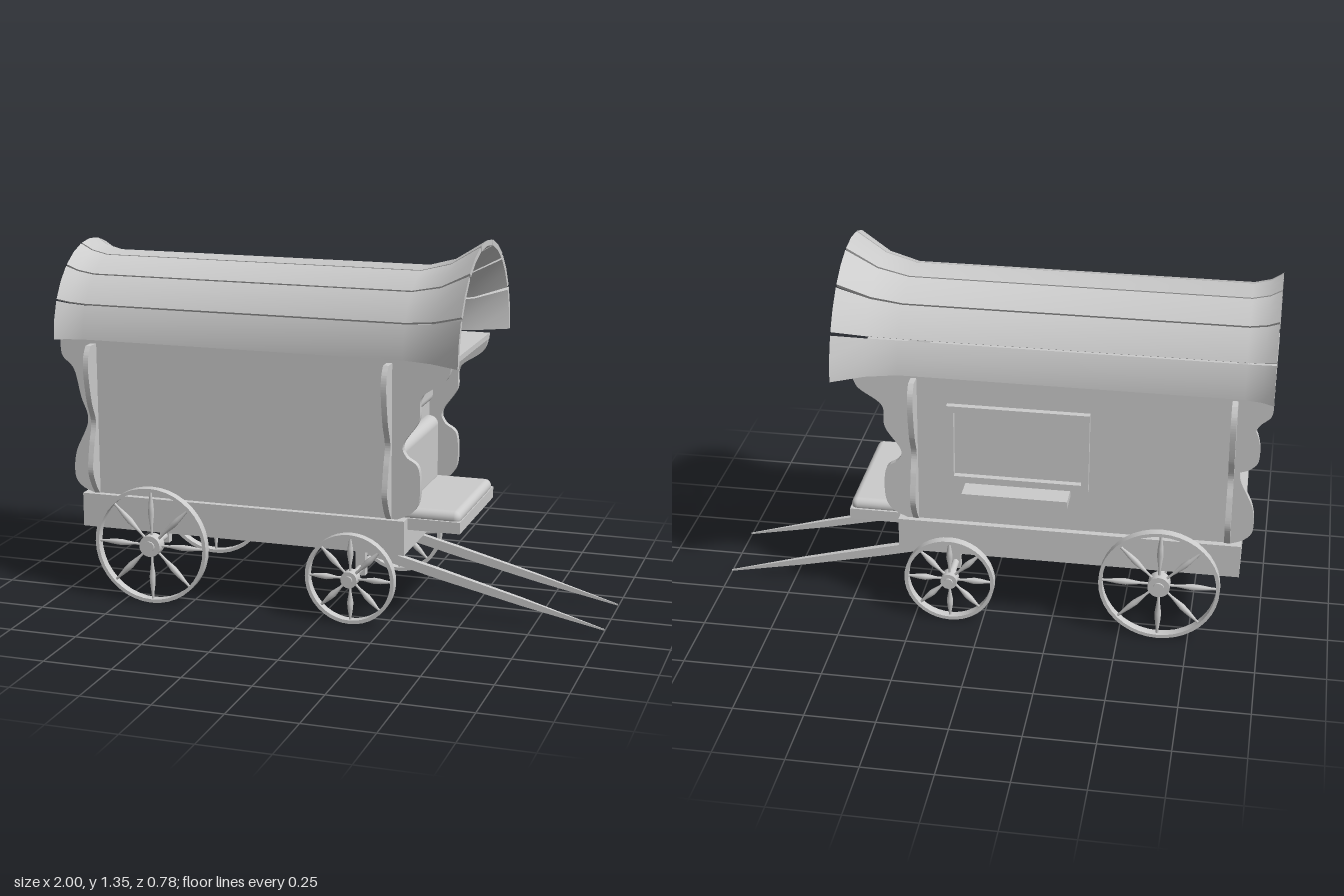
import * as THREE from 'three';
import { toCreasedNormals } from 'three/addons/utils/BufferGeometryUtils.js';
import { RoundedBoxGeometry } from 'three/addons/geometries/RoundedBoxGeometry.js';

const mat = new THREE.MeshStandardMaterial({ color: 0xcccccc });

function add(parent, name, geo, x = 0, y = 0, z = 0) {
  const m = new THREE.Mesh(geo, mat);
  m.name = name;
  m.position.set(x, y, z);
  parent.add(m);
  return m;
}

// box given by its minimum and maximum corners
function box(parent, name, x0, x1, y0, y1, z0, z1) {
  return add(parent, name, new THREE.BoxGeometry(x1 - x0, y1 - y0, z1 - z0),
    (x0 + x1) / 2, (y0 + y1) / 2, (z0 + z1) / 2);
}

function pad(parent, name, x0, x1, y0, y1, halfZ, r) {
  return add(parent, name, new RoundedBoxGeometry(x1 - x0, y1 - y0, 2 * halfZ, 4, r),
    (x0 + x1) / 2, (y0 + y1) / 2, 0);
}

function extrude(shape, depth) {
  const g = new THREE.ExtrudeGeometry(shape, { depth, bevelEnabled: false, curveSegments: 14 });
  g.translate(0, 0, -depth / 2);
  return toCreasedNormals(g, 0.6);
}

// scalloped board: straight inner edge, wavy outer edge from top to bottom
function scallop(inner, edge, depth) {
  const pts = edge.map(([x, y]) => new THREE.Vector2(x, y));
  const s = new THREE.Shape();
  s.moveTo(inner, edge[edge.length - 1][1]);
  s.lineTo(inner, edge[0][1]);
  s.lineTo(...edge[0]);
  s.splineThru(pts.slice(1));
  s.closePath();
  const g = new THREE.ExtrudeGeometry(s, { depth, bevelEnabled: false, curveSegments: 28 });
  g.translate(0, 0, -depth / 2);
  return toCreasedNormals(g, 0.6);
}

// one curved roof plank swept through the stations [x, half width, top, half gap]
const stations = [[-1, 0.33, 1.29, 0.012], [-0.96, 0.309, 1.265, 0.01], [-0.9, 0.297, 1.25, 0.01],
  [0.3, 0.297, 1.25, 0.01], [0.41, 0.327, 1.28, 0.012], [0.52, 0.39, 1.35, 0.016]];
function roofPlank(i) {
  const base = 0.967, thick = 0.02, pos = [], idx = [];
  const step = Math.PI / 7;
  for (const [x, w, top, gap] of stations) {
    const a0 = i * step + (i > 0 ? gap : 0), a1 = (i + 1) * step - (i < 6 ? gap : 0);
    const angles = [a0, (a0 + a1) / 2, a1];
    const put = (a, t) => pos.push(x, base + (top - base - t) * Math.sin(a), (w - t) * Math.cos(a));
    angles.forEach(a => put(a, 0));
    angles.reverse().forEach(a => put(a, thick));
  }
  const quad = (a, b, c, d) => idx.push(a, b, c, a, c, d);
  for (let j = 0; j < stations.length - 1; j++)
    for (let k = 0; k < 6; k++) {
      const n = (k + 1) % 6, p = j * 6, q = p + 6;
      quad(p + k, q + k, q + n, p + n);
    }
  const e = (stations.length - 1) * 6;
  quad(0, 1, 4, 5);
  quad(1, 2, 3, 4);
  quad(e + 5, e + 4, e + 1, e);
  quad(e + 4, e + 3, e + 2, e + 1);
  const g = new THREE.BufferGeometry();
  g.setAttribute('position', new THREE.Float32BufferAttribute(pos, 3));
  g.setIndex(idx);
  return toCreasedNormals(g, 0.6);
}

// arched outline of the gable, scaled about its base
function arch(path, w, h, y) {
  for (let i = 0; i <= 14; i++) {
    const a = Math.PI * i / 14;
    path[i ? 'lineTo' : 'moveTo'](w * Math.cos(a), y + h * Math.sin(a));
  }
  path.closePath();
  return path;
}

function gable() {
  const g = new THREE.Group();
  g.name = 'gable';
  add(g, 'gablePanel', extrude(arch(new THREE.Shape(), 0.257, 0.25, 0.967), 0.02));
  const rim = arch(new THREE.Shape(), 0.257, 0.25, 0.967);
  rim.holes.push(arch(new THREE.Path(), 0.233, 0.21, 0.985));
  add(g, 'gableTrim', extrude(rim, 0.02), 0, 0, 0.012);
  for (const s of [-1, 1]) {
    const strut = add(g, 'gableStrut', new THREE.BoxGeometry(0.026, 0.23, 0.02), s * 0.073, 1.08, 0.012);
    strut.rotation.z = -s * Math.atan2(0.14, 0.2);
  }
  return g;
}

function wheel(R, hub) {
  const g = new THREE.Group();
  g.name = 'wheel';
  const ri = R - 0.013, w = 0.016;
  const ring = [[ri, -w], [R, -w], [R, w], [ri, w], [ri, -w]].map(p => new THREE.Vector2(...p));
  add(g, 'rim', toCreasedNormals(new THREE.LatheGeometry(ring, 40), 0.6)).rotation.x = Math.PI / 2;
  add(g, 'hub', new THREE.CylinderGeometry(hub, hub, 0.046, 20)).rotation.x = Math.PI / 2;
  add(g, 'hubCap', new THREE.CylinderGeometry(hub * 0.5, hub * 0.5, 0.06, 16)).rotation.x = Math.PI / 2;
  // turned spokes, thickest past the middle
  const L = ri + 0.003 - hub * 0.8;
  const turned = [[0.005, 0], [0.005, 0.2], [0.012, 0.5], [0.01, 0.68], [0.005, 0.9], [0.005, 1]]
    .map(([r, t]) => new THREE.Vector2(r, hub * 0.8 + t * L));
  const spoke = new THREE.LatheGeometry(turned, 8);
  for (let i = 0; i < 8; i++) add(g, 'spoke', spoke).rotation.z = i * Math.PI / 4;
  return g;
}

export function createModel() {
  const model = new THREE.Group();
  model.name = 'wagon';

  // chassis, cabin and ledge under the roof
  box(model, 'chassis', -0.92, 0.31, 0.265, 0.39, -0.295, 0.295);
  box(model, 'cabin', -0.88, 0.25, 0.385, 0.95, -0.272, 0.272);
  box(model, 'ceilingLedge', -1, 0.47, 0.947, 0.967, -0.275, 0.275);

  // roof planks and gables
  const roof = new THREE.Group();
  roof.name = 'roof';
  model.add(roof);
  for (let i = 0; i < 7; i++) add(roof, 'roofPlank', roofPlank(i));
  for (const [x, s] of [[0.25, 1], [-0.88, -1]]) {
    const g = gable();
    g.position.x = x;
    g.rotation.y = s * Math.PI / 2;
    model.add(g);
  }

  // scalloped boards on the porch, the rear and the corners
  const porch = scallop(0.24, [[0.47, 0.96], [0.45, 0.9], [0.365, 0.835], [0.355, 0.75], [0.3, 0.665],
    [0.31, 0.62], [0.355, 0.58], [0.36, 0.475], [0.335, 0.42], [0.28, 0.39]], 0.025);
  const rear = scallop(-0.87, [[-1, 0.96], [-0.995, 0.9], [-0.95, 0.85], [-0.925, 0.75], [-0.9, 0.66],
    [-0.95, 0.54], [-0.957, 0.45], [-0.93, 0.41], [-0.885, 0.39]], 0.025);
  const corner = scallop(0.265, [[0.32, 0.95], [0.343, 0.91], [0.346, 0.85], [0.325, 0.745], [0.293, 0.66],
    [0.314, 0.58], [0.33, 0.49], [0.307, 0.43], [0.277, 0.39]], 0.02);
  for (const s of [-1, 1]) {
    add(model, 'porchBoard', porch, 0, 0, s * 0.2625);
    add(model, 'rearBoard', rear, 0, 0, s * 0.2625);
    for (const x of [0.248, -0.87]) add(model, 'cornerBoard', corner, x).rotation.y = -s * Math.PI / 2;
  }

  // driver's bench
  box(model, 'benchBoard', 0.3, 0.5, 0.348, 0.39, -0.249, 0.249);
  pad(model, 'seatCushion', 0.26, 0.498, 0.375, 0.424, 0.242, 0.024);
  pad(model, 'backCushion', 0.225, 0.295, 0.395, 0.655, 0.24, 0.034);
  pad(model, 'headCushion', 0.225, 0.285, 0.715, 0.797, 0.192, 0.029);

  // side window with shelf
  const frame = new THREE.Shape([[-0.375, 0.56], [0.13, 0.56], [0.13, 0.86], [-0.375, 0.86]]
    .map(p => new THREE.Vector2(...p)));
  frame.holes.push(new THREE.Path([[-0.35, 0.585], [-0.35, 0.835], [0.105, 0.835], [0.105, 0.585]]
    .map(p => new THREE.Vector2(...p))));
  add(model, 'windowFrame', extrude(frame, 0.03), 0, 0, -0.28);
  box(model, 'windowShelf', -0.31, 0.065, 0.525, 0.555, -0.367, -0.27);

  // axles, hangers and wheels
  for (const [x, R, hub] of [[-0.64, 0.217, 0.04], [0.12, 0.165, 0.03]]) {
    const y = R + 0.005;
    add(model, 'axle', new THREE.CylinderGeometry(0.013, 0.013, 0.68, 16), x, y, 0).rotation.x = Math.PI / 2;
    for (const s of [-1, 1]) {
      box(model, 'axleHanger', x - 0.018, x + 0.018, y - 0.025, 0.27, s * 0.185 - 0.014, s * 0.185 + 0.014);
      const w = wheel(R, hub);
      w.position.set(x, y, s * 0.318);
      model.add(w);
    }
  }

  // draught shafts, tapering to their tips
  for (const s of [-1, 1]) {
    const g = new THREE.BoxGeometry(1, 1, 1, 3, 1, 1), p = g.attributes.position;
    for (let i = 0; i < p.count; i++) {
      const t = p.getX(i) + 0.5, k = t > 0.9 ? 0.15 : t > 0.6 ? 0.75 : 1;
      p.setXYZ(i, 0.11 + 0.89 * t, 0.232 - 0.219 * t + p.getY(i) * 0.036 * k, p.getZ(i) * 0.022 * k);
    }
    g.computeVertexNormals();
    add(model, 'shaft', g, 0, 0, s * 0.14);
  }
  return model;
}
